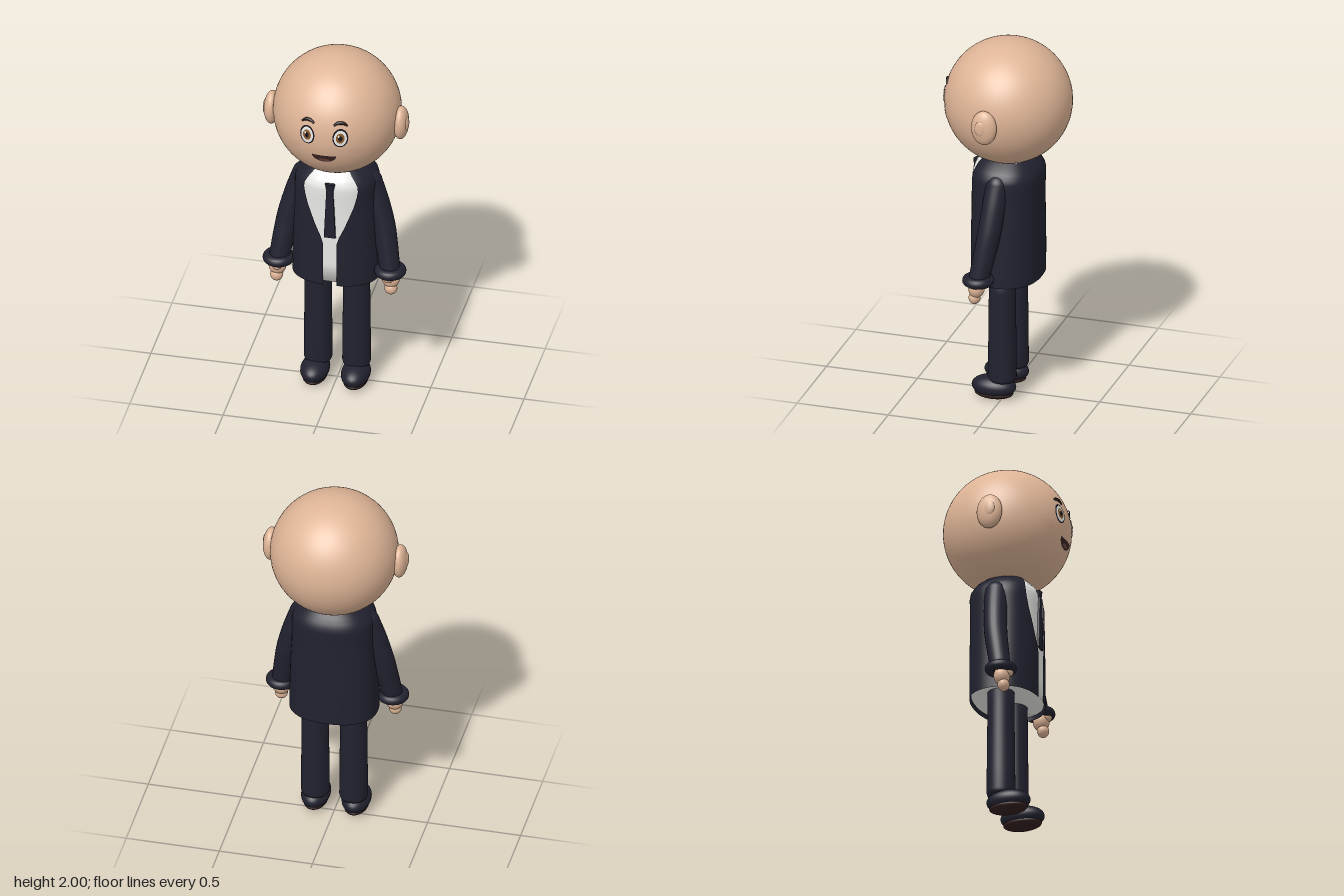
import * as THREE from 'three';
import { mergeVertices } from 'three/addons/utils/BufferGeometryUtils.js';

const HEAD_R = 0.337, HEAD_Y = 1.663;

const flat = (name, color, side = THREE.FrontSide) => {
  const m = new THREE.MeshStandardMaterial({ color, side });
  m.name = name;
  return m;
};

// Stacked rounded cross-sections [y, rx, rz, half width of front opening]
function loft(rows, inset = 0, segments = 64) {
  const pos = [], index = [], e = 0.85;
  rows.forEach(([y, rx, rz, gap = 0], j) => {
    const a0 = Math.asin(Math.pow(gap / rx, 1 / e));
    for (let i = 0; i <= segments; i++) {
      const a = a0 + (2 * Math.PI - 2 * a0) * i / segments;
      const s = Math.sin(a), c = Math.cos(a);
      pos.push(Math.sign(s) * Math.pow(Math.abs(s), e) * (rx - inset), y,
        Math.sign(c) * Math.pow(Math.abs(c), e) * (rz - inset));
      if (j && i < segments) {
        const b = j * (segments + 1) + i, d = b - segments - 1;
        index.push(d, d + 1, b + 1, d, b + 1, b);
      }
    }
  });
  let g = new THREE.BufferGeometry();
  g.setAttribute('position', new THREE.Float32BufferAttribute(pos, 3));
  g.setIndex(index);
  g = mergeVertices(g);
  g.computeVertexNormals();
  return g;
}

// Tapered tube along a curve
function limb(points, radii, rings = 24, sides = 24) {
  const curve = new THREE.CatmullRomCurve3(points.map(p => new THREE.Vector3(...p)));
  const g = new THREE.TubeGeometry(curve, rings, 1, sides);
  const p = g.attributes.position, v = new THREE.Vector3();
  for (let i = 0; i <= rings; i++) {
    const c = curve.getPointAt(i / rings), t = i / rings * (radii.length - 1);
    const k = Math.min(Math.floor(t), radii.length - 2);
    const r = THREE.MathUtils.lerp(radii[k], radii[k + 1], t - k);
    for (let j = 0; j <= sides; j++) {
      const n = i * (sides + 1) + j;
      v.fromBufferAttribute(p, n).sub(c).multiplyScalar(r).add(c);
      p.setXYZ(n, v.x, v.y, v.z);
    }
  }
  g.computeVertexNormals();
  return g;
}

const onHead = (x, y, lift) =>
  new THREE.Vector3(x, y - HEAD_Y, Math.sqrt(HEAD_R ** 2 - x * x - (y - HEAD_Y) ** 2))
    .setLength(HEAD_R + lift).add(new THREE.Vector3(0, HEAD_Y, 0));

// Elliptical patch wrapped onto the head; the arc may be partial
function patch(x, y, rx, ry, lift, start = 0, arc = Math.PI * 2) {
  const g = new THREE.RingGeometry(0.001, 1, 40, 6, start, arc);
  const p = g.attributes.position;
  for (let i = 0; i < p.count; i++) {
    const v = onHead(x + p.getX(i) * rx, y + p.getY(i) * ry, lift);
    p.setXYZ(i, v.x, v.y, v.z);
  }
  g.computeVertexNormals();
  return g;
}

export function createModel() {
  const root = new THREE.Group();
  const skin = flat('skin', 0xdeb496);
  const suit = flat('navy suit', 0x222230, THREE.DoubleSide);
  const white = flat('white', 0xeeeeec, THREE.DoubleSide);
  const black = flat('black', 0x15121a);
  const hair = flat('brow brown', 0x2e211f);
  const iris = flat('iris brown', 0x8a5a2c);
  const lips = flat('mouth brown', 0x3a2422);
  const tongue = flat('tongue', 0x6b4742);
  const blush = flat('blush', 0xdbae92);
  const sole = flat('sole brown', 0x33201f);

  const add = (name, geometry, material, parent = root) => {
    const m = new THREE.Mesh(geometry, material);
    m.name = name;
    parent.add(m);
    return m;
  };
  const ball = (name, material, [x, y, z], [rx, ry, rz], parent = root) => {
    const m = add(name, new THREE.SphereGeometry(1, 32, 24), material, parent);
    m.position.set(x, y, z);
    m.scale.set(rx, ry, rz);
    return m;
  };

  // Head
  add('head', new THREE.SphereGeometry(HEAD_R, 64, 48), skin).position.y = HEAD_Y;
  add('mouth', patch(0, 1.575, 0.064, 0.046, 0.003, Math.PI, Math.PI), lips);
  add('tongue', patch(0, 1.546, 0.03, 0.009, 0.005), tongue);

  // Open jacket over a shirt
  const torso = [
    [0.68, 0.235, 0.185, 0.036], [0.8, 0.234, 0.186, 0.036], [0.94, 0.23, 0.186, 0.037],
    [0.98, 0.229, 0.185, 0.05], [1.04, 0.226, 0.184, 0.077], [1.1, 0.223, 0.184, 0.1],
    [1.16, 0.221, 0.184, 0.122], [1.22, 0.22, 0.186, 0.138], [1.26, 0.219, 0.187, 0.144],
    [1.285, 0.212, 0.183, 0.141], [1.31, 0.196, 0.17, 0.126], [1.335, 0.17, 0.152, 0.105],
    [1.357, 0.14, 0.13, 0.088]];
  add('jacket', loft(torso), suit);
  const shirtRows = torso.map(([y, rx, rz]) => [y, rx, rz]);
  shirtRows[0] = [0.7, 0.235, 0.185];
  add('shirt', loft([[0.7, 0.012, 0.012], ...shirtRows], 0.008), white);
  // Shirt collar with a thin lower edge
  add('collar', loft([[1.298, 0.194, 0.176], [1.312, 0.188, 0.17], [1.335, 0.165, 0.15],
    [1.352, 0.135, 0.128]], 0.005), white);

  // Tie
  const tieShape = new THREE.Shape();
  [[-0.018, 1.265], [-0.031, 0.975], [0.031, 0.975], [0.018, 1.265]]
    .forEach(([x, y], i) => i ? tieShape.lineTo(x, y) : tieShape.moveTo(x, y));
  add('tie', new THREE.ExtrudeGeometry(tieShape, { depth: 0.014, bevelEnabled: false }), suit)
    .position.z = 0.173;
  const knot = add('tieKnot', new THREE.CylinderGeometry(0.027, 0.02, 0.042, 20), suit);
  knot.position.set(0, 1.282, 0.175);
  knot.scale.z = 0.6;

  for (const s of [-1, 1]) {
    const side = new THREE.Group();
    side.name = s > 0 ? 'leftSide' : 'rightSide';
    root.add(side);

    // Ear
    ball('ear', skin, [s * 0.346, 1.64, 0.024], [0.041, 0.095, 0.069], side);
    ball('innerEar', skin, [s * 0.379, 1.645, 0.034], [0.012, 0.042, 0.03], side);

    // Eye, brow and cheek
    const ex = s * 0.088;
    add('eyeOutline', patch(ex, 1.692, 0.04, 0.053, 0.002), black, side);
    add('eyeWhite', patch(ex, 1.691, 0.033, 0.045, 0.0035), white, side);
    add('iris', patch(ex, 1.692, 0.022, 0.029, 0.005), iris, side);
    add('pupil', patch(ex, 1.692, 0.011, 0.015, 0.0065), black, side);
    add('eyeGlint', patch(ex - 0.008, 1.705, 0.005, 0.006, 0.008), white, side);
    add('cheek', patch(s * 0.165, 1.608, 0.037, 0.025, 0.002), blush, side);
    const browPoints = [[0.053, 1.762], [0.072, 1.774], [0.098, 1.774], [0.121, 1.76]]
      .map(([x, y]) => onHead(s * x, y, 0.001).toArray());
    add('eyebrow', limb(browPoints, [0.005, 0.009, 0.009, 0.004], 20, 10), hair, side);

    // Sleeve and cuff
    add('sleeve', limb([[s * 0.178, 1.245, 0.003], [s * 0.217, 1.13, 0.012],
      [s * 0.255, 0.99, 0.026], [s * 0.277, 0.87, 0.046], [s * 0.297, 0.745, 0.068]],
      [0.062, 0.062, 0.061, 0.058, 0.054]), suit, side);
    ball('shoulder', suit, [s * 0.178, 1.245, 0.003], [0.062, 0.062, 0.062], side);
    const cuff = add('cuff', new THREE.TorusGeometry(0.058, 0.026, 16, 40), suit, side);
    cuff.position.set(s * 0.299, 0.745, 0.07);
    cuff.rotation.x = Math.PI / 2;
    const cuffFill = add('cuffFill', new THREE.CylinderGeometry(0.056, 0.056, 0.03, 32), suit, side);
    cuffFill.position.set(s * 0.299, 0.745, 0.07);

    // Hand
    ball('palm', skin, [s * 0.304, 0.7, 0.078], [0.047, 0.05, 0.043], side);
    ball('fingers', skin, [s * 0.306, 0.647, 0.088], [0.034, 0.035, 0.031], side);
    ball('thumb', skin, [s * 0.298, 0.718, 0.118], [0.026, 0.021, 0.02], side);

    // Leg with rounded trouser hem
    const legProfile = [[0, 0.098], [0.055, 0.1], [0.07, 0.108], [0.0755, 0.125], [0.0745, 0.25],
      [0.0705, 0.62], [0.07, 0.75], [0, 0.75]].map(([x, y]) => new THREE.Vector2(x, y));
    add('trouserLeg', new THREE.LatheGeometry(legProfile, 36), suit, side)
      .position.set(s * 0.103, 0, 0.001);

    // Shoe
    ball('shoe', suit, [s * 0.109, 0.068, 0.045], [0.076, 0.06, 0.12], side);
    ball('shoeSole', sole, [s * 0.109, 0.03, 0.045], [0.064, 0.03, 0.105], side);
  }
  return root;
}
